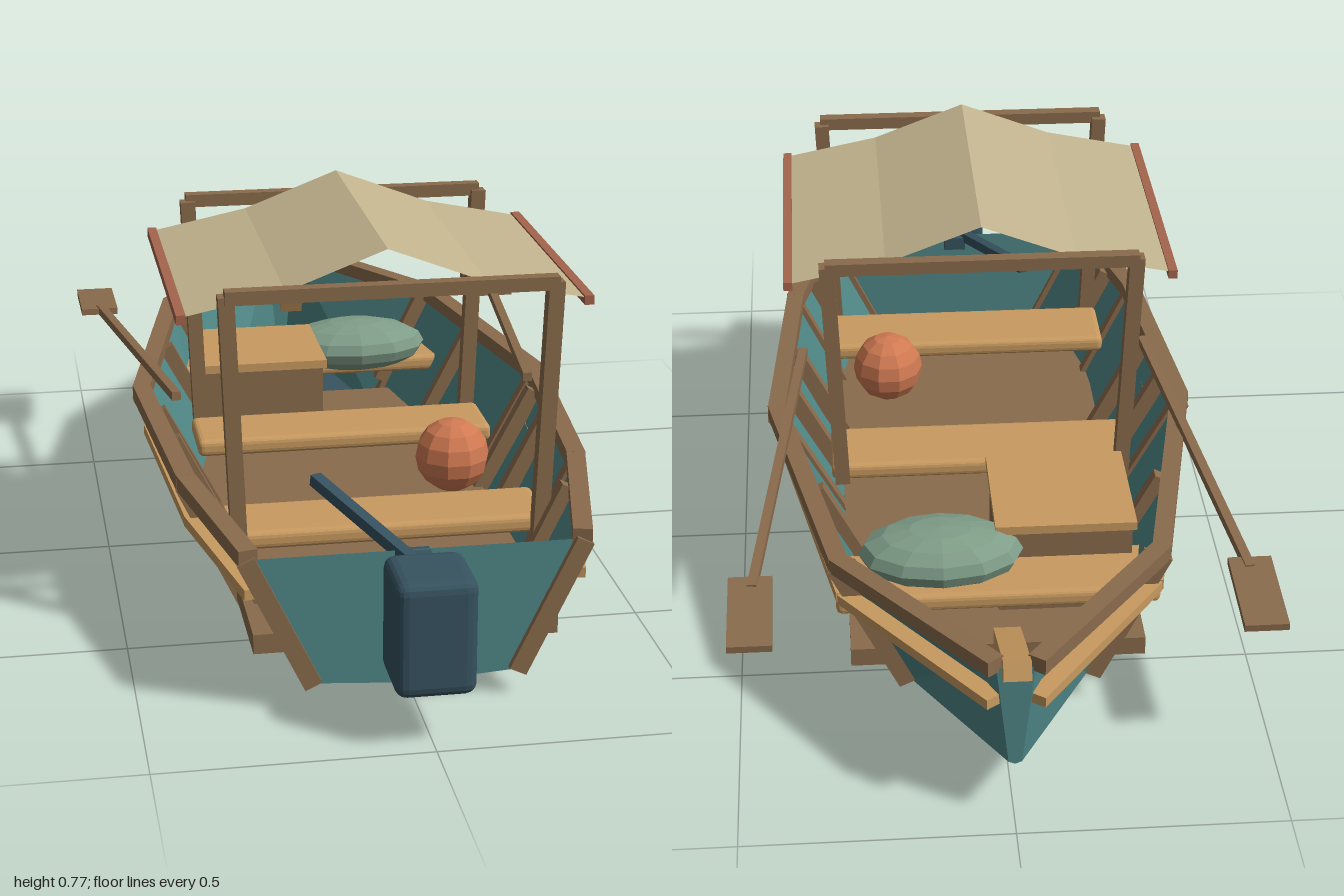
import * as THREE from 'three';
import { RoundedBoxGeometry } from 'three/addons/geometries/RoundedBoxGeometry.js';

const mat = (name, color, opts = {}) =>
  new THREE.MeshStandardMaterial({ name, color, flatShading: true, ...opts });
const V = (x, y, z) => new THREE.Vector3(x, y, z);

export function createModel() {
  const boat = new THREE.Group();
  boat.name = 'boat';

  const teal = mat('teal paint', 0x4f8786, { side: THREE.DoubleSide });
  const navy = mat('dark navy', 0x36525f, { side: THREE.DoubleSide });
  const canvasCloth = mat('canvas cloth', 0xc2b48e, { side: THREE.DoubleSide });
  const wood = mat('brown wood', 0x8a6b4c);
  const paleWood = mat('pale wood', 0xc89a60);
  const redWood = mat('red wood', 0xa5654c);
  const orange = mat('orange', 0xd07a52);
  const sage = mat('sage green', 0x7f9d88);

  const add = (name, geometry, material, x = 0, y = 0, z = 0) => {
    const mesh = new THREE.Mesh(geometry, material);
    mesh.name = name;
    mesh.position.set(x, y, z);
    boat.add(mesh);
    return mesh;
  };
  const box = (name, m, w, h, d, x, y, z) => add(name, new THREE.BoxGeometry(w, h, d), m, x, y, z);

  // Square bar from a to b: w is its horizontal thickness, h the other one
  const beam = (name, m, a, b, w, h, extra = 0) => {
    const mesh = add(name, new THREE.BoxGeometry(w, h, a.distanceTo(b) + extra), m);
    mesh.position.copy(a).lerp(b, 0.5);
    mesh.lookAt(b);
    return mesh;
  };

  // Sheet through a row of equal-length sections
  const sheet = (name, m, sections) => {
    const pts = [];
    for (let i = 0; i < sections.length - 1; i++) {
      for (let j = 0; j < sections[i].length - 1; j++) {
        const a = sections[i][j], b = sections[i][j + 1];
        const c = sections[i + 1][j + 1], d = sections[i + 1][j];
        pts.push(a, b, c, a, c, d);
      }
    }
    const g = new THREE.BufferGeometry().setFromPoints(pts);
    g.computeVertexNormals();
    return add(name, g, m);
  };

  // Hull stations from stern to bow: z, gunwale x/y, chine x/y, keel y
  const stations = [
    [0.80, 0.300, 0.300, 0.180, 0.050, 0.038],
    [0.46, 0.375, 0.315, 0.235, 0.020, 0.010],
    [-0.04, 0.415, 0.322, 0.250, 0.014, 0.002],
    [-0.61, 0.300, 0.330, 0.170, 0.060, 0.046],
    [-0.96, 0.035, 0.345, 0.012, 0.135, 0.130],
  ];
  // Interpolated station at any z
  const stationAt = (z) => {
    let i = 0;
    while (i < 3 && z < stations[i + 1][0]) i++;
    const [a, b] = [stations[i], stations[i + 1]];
    const t = (z - a[0]) / (b[0] - a[0]);
    return a.map((v, k) => v + (b[k] - v) * t);
  };
  // Point on the side: t = 0 at the chine, 1 at the gunwale, out = offset in x
  const sidePoint = (s, [z, gx, gy, cx, cy], t, out = 0) =>
    V(s * (cx + (gx - cx) * t + out), cy + (gy - cy) * t, z);

  // Hull skin
  sheet('hullBottom', navy, stations.map(([z, , , cx, cy, ky]) =>
    [V(-cx, cy, z), V(0, ky, z), V(cx, cy, z)]));
  for (const [name, st] of [['transom', stations[0]], ['bowEnd', stations[4]]]) {
    const [z, gx, gy, cx, cy, ky] = st;
    sheet(name, teal, [
      [V(-gx, gy, z), V(0, gy, z), V(gx, gy, z)],
      [V(-cx, cy, z), V(0, ky, z), V(cx, cy, z)]]);
  }

  for (const s of [-1, 1]) {
    sheet('hullSide', teal, stations.map((st) => [sidePoint(s, st, 0), sidePoint(s, st, 1)]));

    // Gunwale rails and pale rubbing strips
    for (let i = 0; i < 4; i++) {
      const [a, b] = [stations[i], stations[i + 1]];
      const lift = V(0, 0.006, 0);
      beam('gunwale', wood, sidePoint(s, a, 1, 0.004).add(lift),
        sidePoint(s, b, 1, 0.004).add(lift), 0.036, 0.03, 0.01);
      beam('rubbingStrip', paleWood, sidePoint(s, a, 0.74, 0.025),
        sidePoint(s, b, i === 3 ? 0.66 : 0.75, i === 3 ? 0.012 : 0.025), 0.035, 0.02, 0.006);
    }

    // Outer ribs
    for (const z of [0.80, 0.46, -0.04, -0.61]) {
      const st = stationAt(z);
      beam('outerRib', wood, sidePoint(s, st, 0, 0.008), sidePoint(s, st, 1, 0.008), 0.026, 0.034);
    }
    // Inner ribs
    for (const z of [0.57, 0.22, 0.06, -0.335, -0.61]) {
      const st = stationAt(z);
      beam('innerRib', wood, sidePoint(s, st, 0.25, -0.012), sidePoint(s, st, 1, -0.012), 0.026, 0.036);
    }

    // Canopy posts and side poles
    for (const z of [0.548, -0.128])
      beam('canopyPost', wood, V(s * 0.288, 0.21, z), V(s * 0.307, 0.71, z), 0.03, 0.03);
    box('canopyPole', redWood, 0.018, 0.018, 0.61, s * 0.384, 0.654, 0.2);

    // Oars
    beam('oarShaft', wood, V(s * 0.362, 0.375, 0.13), V(s * 0.464, 0.322, -0.66), 0.018, 0.018);
    beam('oarBlade', wood, V(s * 0.467, 0.322, -0.63), V(s * 0.467, 0.31, -0.83), 0.082, 0.014);
  }

  // Floor, wide enough to show through the narrow ends of the hull
  box('floor', wood, 0.57, 0.038, 1.3, 0, 0.096, 0.068);

  // Benches
  for (const z of [0.46, -0.04, -0.515])
    add('bench', new RoundedBoxGeometry(0.62, 0.036, 0.155, 2, 0.012), paleWood, 0, 0.221, z);

  // Canopy: crossbars and a sagging ridge cloth
  for (const z of [0.558, -0.138]) box('canopyCrossbar', wood, 0.62, 0.026, 0.026, 0, 0.71, z);
  const profile = [[-0.385, 0.657], [-0.19, 0.697], [0, 0.77], [0.19, 0.697], [0.385, 0.657]];
  sheet('canopyCloth', canvasCloth, [-0.1, 0.5].map((z) => profile.map(([x, y]) => V(x, y, z))));

  // Stem bar at the bow
  beam('stemBar', paleWood, V(0, 0.27, -0.77), V(0, 0.358, -0.99), 0.05, 0.036);

  // Crate with lid
  box('crate', wood, 0.26, 0.185, 0.245, -0.138, 0.205, -0.35);
  box('crateLid', paleWood, 0.275, 0.018, 0.26, -0.138, 0.306, -0.35);

  // Bundle on the bow bench and ball float on the floor
  add('bundle', new THREE.SphereGeometry(1, 12, 8), sage, 0.105, 0.265, -0.478)
    .scale.set(0.16, 0.058, 0.1);
  add('ballFloat', new THREE.SphereGeometry(0.075, 10, 8), orange, 0.18, 0.262, 0.25);

  // Outboard motor with bracket and tiller
  add('motor', new RoundedBoxGeometry(0.146, 0.218, 0.15, 2, 0.022), navy, 0, 0.211, 0.925);
  box('motorBracket', navy, 0.05, 0.03, 0.09, 0, 0.283, 0.83);
  beam('tiller', navy, V(0, 0.285, 0.86), V(-0.143, 0.342, 0.54), 0.022, 0.022);

  return boat;
}
